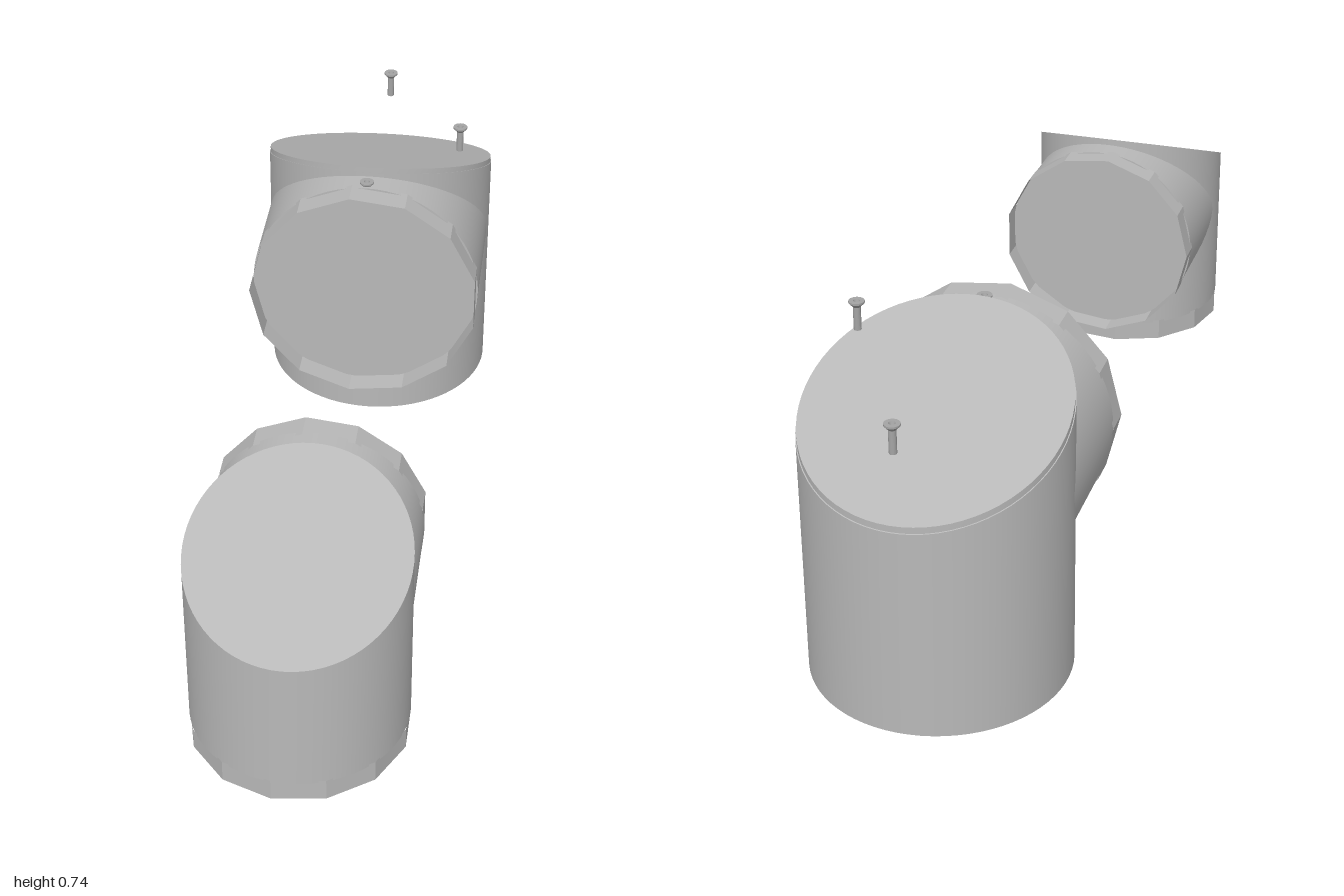
import * as THREE from 'three';
import { toCreasedNormals } from 'three/addons/utils/BufferGeometryUtils.js';

const grey = new THREE.MeshStandardMaterial({ color: 0xb8b8b8 });
grey.name = 'grey';
const greyOpen = new THREE.MeshStandardMaterial({ color: 0xb8b8b8, side: THREE.DoubleSide });
greyOpen.name = 'greyThinWall';
const steel = new THREE.MeshStandardMaterial({ color: 0xa4a4a4 });
steel.name = 'screwSteel';

function add(parent, name, geometry, material) {
  const mesh = new THREE.Mesh(geometry, material);
  mesh.name = name;
  parent.add(mesh);
  return mesh;
}

// Upright cylinder whose ends are y = a + slope * z
function slantedCylinder(r, bottom, top, bottomSlope, topSlope) {
  const g = new THREE.CylinderGeometry(r, r, 2, 72, 1);
  const p = g.attributes.position;
  for (let i = 0; i < p.count; i++) {
    const z = p.getZ(i);
    p.setY(i, p.getY(i) > 0 ? top + topSlope * z : bottom + bottomSlope * z);
  }
  g.computeVertexNormals();
  return g;
}

// Horizontal branch along +z, its back end fitted to the upright cylinder
function branchGeometry(r, end) {
  const g = new THREE.CylinderGeometry(r, r, 2, 72, 1).rotateX(Math.PI / 2);
  const p = g.attributes.position;
  for (let i = 0; i < p.count; i++) {
    const x = p.getX(i);
    p.setZ(i, p.getZ(i) > 0 ? end : 0.98 * Math.sqrt(Math.max(0, r * r - x * x)));
  }
  return g;
}

// Thin, open, coarse-sided socket rim
function collarGeometry(r, depth, start) {
  return toCreasedNormals(
    new THREE.CylinderGeometry(r, r, depth, 13, 1, true, start), 0.1);
}

// Pipe elbow with its branch facing +z and a slanted top
function elbow(o) {
  const g = new THREE.Group();
  g.name = o.name;
  const lid = o.lid || 0;
  add(g, 'uprightPipe', slantedCylinder(o.r, o.bottom, o.top - lid, 0, o.slope), grey);
  if (lid) {
    add(g, 'lid', slantedCylinder(o.r - 0.002, o.top - lid, o.top, o.slope, o.slope), grey);
  }
  add(g, 'branchPipe', branchGeometry(o.r - 0.003, o.branchEnd), grey).position.y = o.axis;
  const rim = o.collarEnd - o.branchEnd + 0.01;
  const collar = add(g, 'branchCollar',
    collarGeometry(o.r, rim, o.start).rotateX(Math.PI / 2), greyOpen);
  collar.position.set(0, o.axis, o.collarEnd - rim / 2);
  if (o.baseCollar) {
    const base = add(g, 'baseCollar',
      collarGeometry(o.r + 0.003, o.baseCollar, o.start), greyOpen);
    base.position.y = o.bottom - o.baseCollar / 2 + 0.005;
  }
  return g;
}

// Countersunk screw, origin at the top of its head
function screwGeometry() {
  const profile = [
    [0, -0.064], [0.008, -0.064], [0.008, -0.013], [0.0165, -0.004],
    [0.0165, 0], [0.007, 0], [0.005, -0.006], [0, -0.006],
  ].map(([x, y]) => new THREE.Vector2(x, y));
  return toCreasedNormals(new THREE.LatheGeometry(profile, 20), 0.5);
}

export function createModel() {
  const model = new THREE.Group();
  model.name = 'pipeElbows';

  const large = elbow({
    name: 'largeElbow', r: 0.275, bottom: 0, top: 0.591, slope: 0.4, lid: 0.014,
    axis: 0.405, branchEnd: 0.33, collarEnd: 0.385, start: -Math.PI / 2,
  });
  large.position.z = -0.725;
  model.add(large);

  const small = elbow({
    name: 'smallElbow', r: 0.228, bottom: 0.145, top: 0.546, slope: 0.43,
    axis: 0.405, branchEnd: 0.28, collarEnd: 0.328, baseCollar: 0.05, start: Math.PI / 2,
  });
  small.position.z = 0.77;
  small.rotation.y = Math.PI;
  model.add(small);

  // Two loose screws above the lid, one sunk in the branch
  const screw = screwGeometry();
  [[0.203, 0.735, -0.61], [0, 0.682, -0.96], [0, 0.684, -0.415]].forEach((p, i) => {
    add(model, 'screw' + (i + 1), screw, steel).position.set(...p);
  });
  return model;
}
